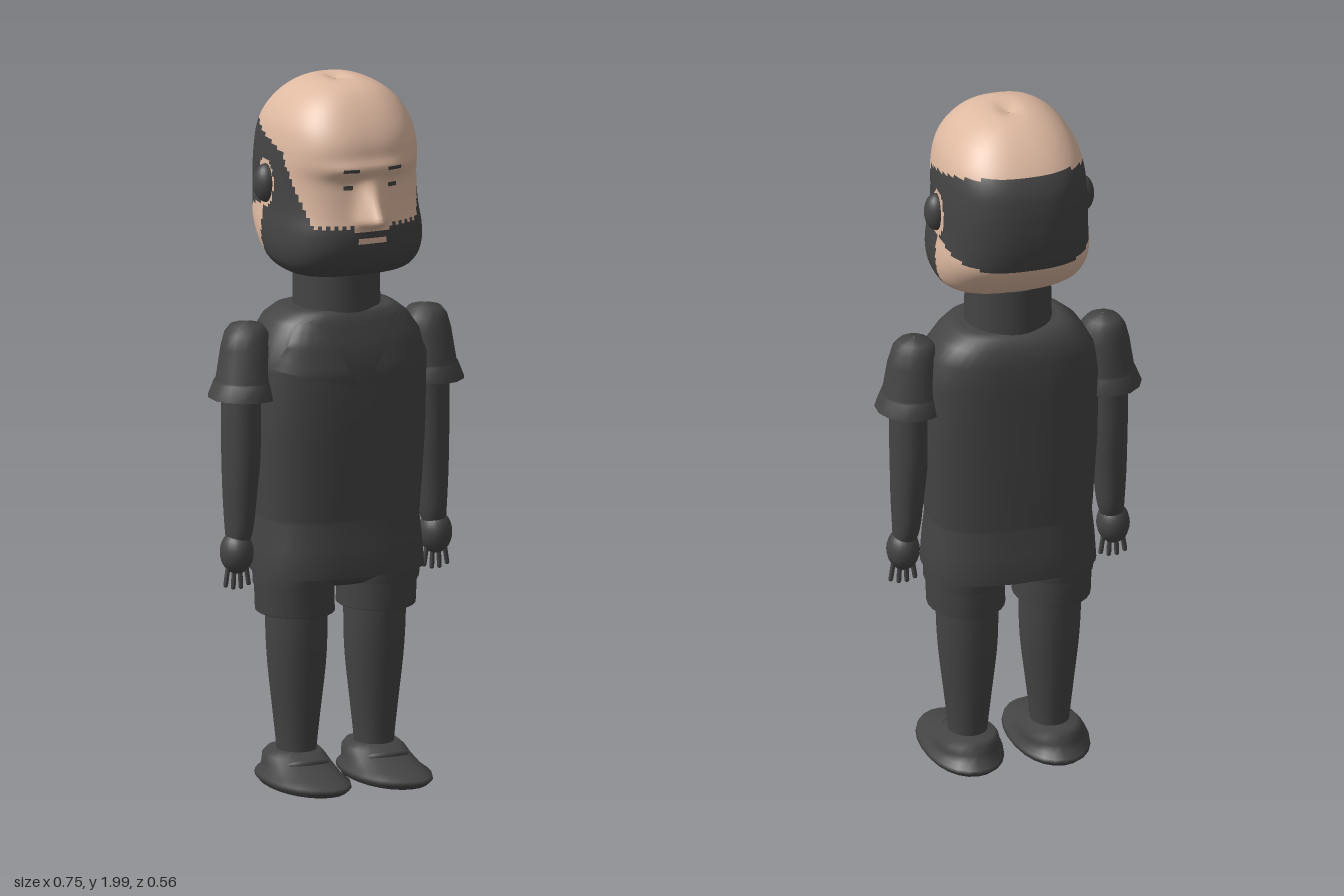
import * as THREE from 'three';

const skin = new THREE.MeshStandardMaterial({ color: 0xdeb9a1 });
skin.name = 'skin';
const dark = new THREE.MeshStandardMaterial({ color: 0x444444 });
dark.name = 'charcoal';

// Closed loft from rows of [y, halfWidth, zFront, zBack, xCentre].
// power squares off the cross-section, steps > 0 smooths between rows.
function loft(rows, { power = 2, cols = 32, steps = 0, side = 1, bend = null, isDark = null } = {}) {
  const a = new THREE.CatmullRomCurve3(rows.map(r => new THREE.Vector3(r[0], r[1], r[4] || 0)), false, 'catmullrom');
  const b = new THREE.CatmullRomCurve3(rows.map(r => new THREE.Vector3(r[2], r[3], 0)), false, 'catmullrom');
  const n = steps || rows.length - 1;
  const pts = [];
  for (let i = 0; i <= n; i++) {
    const p = a.getPoint(i / n), q = b.getPoint(i / n);
    const zc = (q.x + q.y) / 2, d = (q.x - q.y) / 2;
    for (let j = 0; j < cols; j++) {
      const t = j / cols * Math.PI * 2, s = Math.sin(t), c = Math.cos(t);
      const r = (Math.abs(s) ** power + Math.abs(c) ** power) ** (-1 / power);
      const v = new THREE.Vector3(side * p.z + p.y * r * s, p.x, zc + d * r * c);
      if (bend) bend(v);
      pts.push(v);
    }
  }
  const faces = [[], []];
  for (let i = 0; i < n; i++) for (let j = 0; j < cols; j++) {
    const k = (j + 1) % cols, p = i * cols + j, q = i * cols + k;
    const mid = pts[p].clone().add(pts[q + cols]).multiplyScalar(0.5);
    faces[isDark && isDark(mid) ? 1 : 0].push(p, q, q + cols, p, q + cols, p + cols);
  }
  const geo = new THREE.BufferGeometry().setFromPoints(pts);
  geo.setIndex([...faces[0], ...faces[1]]);
  geo.addGroup(0, faces[0].length, 0);
  if (faces[1].length) geo.addGroup(faces[0].length, faces[1].length, 1);
  geo.computeVertexNormals();
  return geo;
}

// Nose and brow ridge pushed out of the face
function shapeFace(v) {
  if (v.z < 0.08) return;
  const rise = THREE.MathUtils.smoothstep(v.y, 1.612, 1.645);
  const fall = Math.max(0, 1 - Math.max(0, v.y - 1.65) / 0.12);
  v.z += 0.075 * rise * fall * Math.exp(-((v.x / 0.033) ** 2));
  v.z += 0.016 * Math.exp(-(((v.y - 1.785) / 0.022) ** 2)) * Math.exp(-((v.x / 0.13) ** 4));
}

// Beard in front, hair band round the back, bare skin ring round the ears
function hairRule({ x, y, z }) {
  if (((y - 1.715) / 0.066) ** 2 + ((z + 0.047) / 0.05) ** 2 < 1 && Math.abs(x) > 0.1) return false;
  const hairTop = Math.min(1.89, 1.815 + (0.05 - z) * 0.27);
  if (z > -0.055) {
    if (Math.abs(x) < 0.055 && y > 1.612) return false;
    const jag = 1.625 + 0.009 * Math.sin(x * 300);
    return y < (z < 0.05 ? hairTop : Math.max(jag, 1.62 + (0.16 - z) * 1.75));
  }
  return y < hairTop && y > 1.66 + (z + 0.05) * 0.25;
}

// Thin patch draped on the front of a mesh, corners in order bl, br, tr, tl
function drape(target, corners, lift, n = 8) {
  const ray = new THREE.Raycaster();
  const [bl, br, tr, tl] = corners.map(c => new THREE.Vector2(...c));
  const geo = new THREE.PlaneGeometry(1, 1, n, n), pos = geo.attributes.position;
  for (let i = 0; i < pos.count; i++) {
    const u = pos.getX(i) + 0.5, v = pos.getY(i) + 0.5;
    const p = bl.clone().lerp(br, u).lerp(tl.clone().lerp(tr, u), v);
    ray.set(new THREE.Vector3(p.x, p.y, 2), new THREE.Vector3(0, 0, -1));
    const hit = ray.intersectObject(target)[0];
    pos.setXYZ(i, p.x, p.y, (hit ? hit.point.z : 0) + lift);
  }
  geo.computeVertexNormals();
  return geo;
}

export function createModel() {
  const model = new THREE.Group();
  const add = (name, geo, mat = dark, parent = model) => {
    const m = new THREE.Mesh(geo, mat);
    m.name = name;
    parent.add(m);
    return m;
  };
  const rect = (x, y, w, h) => [[x - w, y - h], [x + w, y - h], [x + w, y + h], [x - w, y + h]];

  // Head
  const head = add('head', loft([
    [1.465, 0.002, 0.02, 0.016], [1.467, 0.1, 0.09, -0.06], [1.475, 0.165, 0.145, -0.11],
    [1.505, 0.2, 0.18, -0.165], [1.55, 0.214, 0.204, -0.215], [1.6, 0.215, 0.21, -0.255],
    [1.65, 0.209, 0.203, -0.27], [1.7, 0.206, 0.198, -0.276], [1.75, 0.205, 0.197, -0.277],
    [1.8, 0.203, 0.208, -0.274], [1.85, 0.197, 0.205, -0.264], [1.9, 0.182, 0.183, -0.236],
    [1.95, 0.148, 0.145, -0.19], [1.985, 0.1, 0.1, -0.14], [2.0, 0.045, 0.04, -0.09],
    [1.99, 0.002, -0.033, -0.037],
  ], { power: 2.6, cols: 128, steps: 75, bend: shapeFace, isDark: hairRule }), [skin, dark]);

  // Face details
  add('mouth', drape(head, rect(0, 1.585, 0.042, 0.008), 0.004), skin);
  for (const s of [1, -1]) {
    const side = s > 0 ? 'left' : 'right';
    add(side + 'Eyebrow', drape(head, rect(s * 0.065, 1.787, 0.022, 0.005), 0.004));
    add(side + 'Eye', drape(head, rect(s * 0.066, 1.736, 0.013, 0.006), 0.004));
    const ear = add(side + 'Ear', new THREE.SphereGeometry(1, 20, 14));
    ear.scale.set(0.034, 0.054, 0.038);
    ear.position.set(s * 0.208, 1.715, -0.04);
  }

  // Neck
  const neck = add('neck', new THREE.CylinderGeometry(0.119, 0.122, 0.16, 32));
  neck.position.set(0, 1.41, -0.028);

  // Shirt body with flared hem
  const shirt = add('shirt', loft([
    [0.615, 0.002, -0.02, -0.024], [0.615, 0.23, 0.13, -0.19], [0.618, 0.24, 0.142, -0.2],
    [0.7, 0.235, 0.134, -0.193], [0.77, 0.228, 0.126, -0.186], [0.78, 0.23, 0.128, -0.187],
    [1.0, 0.245, 0.134, -0.19], [1.2, 0.248, 0.138, -0.19], [1.28, 0.232, 0.12, -0.19],
    [1.33, 0.198, 0.102, -0.178], [1.355, 0.165, 0.095, -0.158], [1.362, 0.14, 0.08, -0.14],
    [1.365, 0.002, -0.02, -0.024],
  ], { power: 2.8, cols: 48 }));

  // Shorts seat
  add('shortsSeat', loft([
    [0.575, 0.002, -0.03, -0.034], [0.58, 0.1, 0.06, -0.13], [0.61, 0.21, 0.1, -0.165], [0.68, 0.21, 0.1, -0.165],
  ], { power: 2.5 }));

  for (const s of [1, -1]) {
    const side = s > 0 ? 'left' : 'right';
    const opt = { side: s, cols: 24 };

    // Collar lapel
    let lapel = [[0.01, 1.158], [0.236, 1.212], [0.17, 1.33], [0.125, 1.345]].map(([x, y]) => [s * x, y]);
    if (s < 0) lapel = [lapel[1], lapel[0], lapel[3], lapel[2]];
    add(side + 'Lapel', drape(shirt, lapel, 0.012, 12));

    // Sleeve, arm and hand
    add(side + 'Sleeve', loft([
      [1.13, 0.002, -0.03, -0.034, 0.282], [1.12, 0.095, 0.07, -0.13, 0.28], [1.122, 0.098, 0.076, -0.136, 0.28],
      [1.165, 0.085, 0.062, -0.122, 0.276], [1.17, 0.082, 0.057, -0.117, 0.275], [1.26, 0.072, 0.042, -0.105, 0.271],
      [1.3, 0.062, 0.03, -0.096, 0.27], [1.322, 0.045, 0.012, -0.08, 0.27], [1.332, 0.002, -0.03, -0.034, 0.27],
    ], { side: s, cols: 14 }));
    add(side + 'Arm', loft([
      [0.7, 0.03, 0.0, -0.06, 0.298], [0.75, 0.038, 0.015, -0.08, 0.292], [0.85, 0.046, 0.022, -0.09, 0.289],
      [0.95, 0.052, 0.028, -0.098, 0.285], [1.05, 0.055, 0.028, -0.098, 0.284], [1.16, 0.055, 0.025, -0.095, 0.282],
    ], { ...opt, steps: 15 }));
    const hand = add(side + 'Hand', new THREE.SphereGeometry(1, 20, 14));
    hand.scale.set(0.046, 0.06, 0.052);
    hand.position.set(s * 0.3, 0.682, -0.03);
    for (let i = 0; i < 4; i++) {
      const finger = add(side + 'Finger', new THREE.CapsuleGeometry(0.007, 0.06, 3, 8));
      finger.position.set(s * (0.27 + i * 0.02), i % 3 ? 0.614 : 0.622, -0.028);
      finger.rotation.z = s * (i - 1.5) * 0.1;
    }

    // Shorts leg with hem
    add(side + 'ShortsLeg', loft([
      [0.505, 0.002, -0.03, -0.034, 0.122], [0.5, 0.104, 0.08, -0.15, 0.122], [0.503, 0.108, 0.085, -0.155, 0.122],
      [0.575, 0.108, 0.088, -0.156, 0.125], [0.58, 0.113, 0.097, -0.16, 0.125], [0.64, 0.113, 0.1, -0.163, 0.125],
    ], opt));

    // Leg
    add(side + 'Leg', loft([
      [0.06, 0.052, 0.025, -0.095, 0.117], [0.12, 0.055, 0.025, -0.097, 0.117], [0.22, 0.066, 0.034, -0.106, 0.117],
      [0.35, 0.081, 0.046, -0.116, 0.117], [0.45, 0.086, 0.052, -0.12, 0.118], [0.56, 0.087, 0.052, -0.12, 0.119],
    ], { ...opt, steps: 15 }));

    // Shoe with instep strap
    add(side + 'Shoe', loft([
      [0.006, 0.002, 0.02, 0.016, 0.123], [0.008, 0.07, 0.14, -0.11, 0.123], [0.02, 0.1, 0.205, -0.165, 0.123],
      [0.034, 0.111, 0.226, -0.184, 0.123], [0.044, 0.109, 0.22, -0.18, 0.123], [0.055, 0.097, 0.175, -0.16, 0.122],
      [0.075, 0.09, 0.105, -0.15, 0.12], [0.095, 0.084, 0.05, -0.143, 0.12], [0.11, 0.07, 0.03, -0.13, 0.118],
      [0.113, 0.002, -0.03, -0.034, 0.117],
    ], { ...opt, power: 2.1 }));
    const strap = [[-0.082, 0.06, 0.0], [-0.045, 0.083, 0.055], [0, 0.087, 0.068], [0.045, 0.083, 0.055], [0.082, 0.06, 0.0]]
      .map(([x, y, z]) => new THREE.Vector3(x + s * 0.12, y, z));
    add(side + 'ShoeStrap', new THREE.TubeGeometry(new THREE.CatmullRomCurve3(strap), 20, 0.011, 8));
  }
  return model;
}
